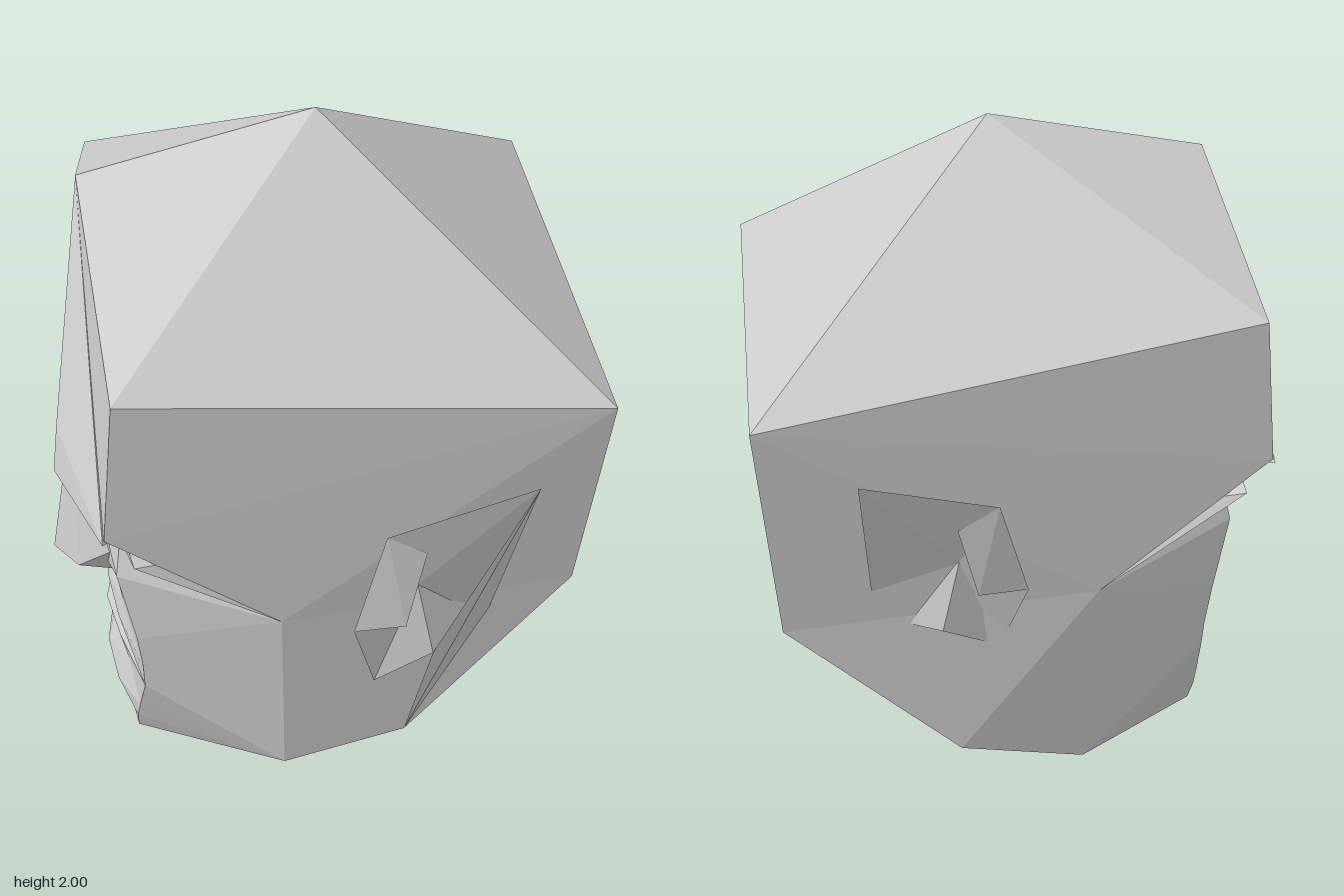
import * as THREE from 'three';
import { ConvexGeometry } from 'three/addons/geometries/ConvexGeometry.js';

const material = new THREE.MeshStandardMaterial({ color: 0xcccccc, flatShading: true, side: THREE.DoubleSide });

// Point of the head: forward, up, sideways. The head is slightly skewed and tilted.
const P = ([f, y, s]) =>
  new THREE.Vector3(-f * (1 - 0.055 * s), y - 0.025 * s, s + 0.035 * f - 0.01 * (2 - y));
const flip = ([f, y, s]) => [f, y, -s];
const both = (points) => points.flatMap((p) => (p[2] ? [p, flip(p)] : [p]));

function mesh(name, geometry) {
  const m = new THREE.Mesh(geometry, material);
  m.name = name;
  return m;
}

const hull = (name, points) => mesh(name, new ConvexGeometry(points.map(P)));

// Faceted surface from triangles of points
function facets(name, triangles) {
  const geometry = new THREE.BufferGeometry().setFromPoints(triangles.flat().map(P));
  geometry.computeVertexNormals();
  return mesh(name, geometry);
}

// Surface through half sections, each mirrored across the middle
function loft(name, halves) {
  const rows = halves.map((h) => [...h.slice(1).reverse().map(flip), ...h]);
  const triangles = [];
  for (let r = 0; r < rows.length - 1; r++) {
    for (let c = 0; c < rows[r].length - 1; c++) {
      const [a, d] = [rows[r][c], rows[r][c + 1]];
      const [b, e] = [rows[r + 1][c], rows[r + 1][c + 1]];
      // Diagonals mirror across the middle
      if (c < 3) triangles.push([a, b, e], [a, e, d]);
      else triangles.push([a, b, d], [d, b, e]);
    }
  }
  // Leave out triangles that close to a line where sections meet
  return facets(name, triangles.filter((t) => new THREE.Triangle(...t.map(P)).getArea() > 1e-6));
}

export function createModel() {
  const head = new THREE.Group();
  head.name = 'head';

  // Corners shared by several parts
  const forehead = [0.62, 1.86, 0];
  const backLow = [[-0.66, 0.84, 0.61], [-0.66, 0.84, -0.635]];
  const cheekbone = [0.18, 0.83, 0.64];
  const jawCorner = [0.17, 0.17, 0.575];
  const jawAngles = [[-0.2, 0.255, 0.58], [-0.2, 0.345, -0.65]];
  const neck = [-0.28, 0.18, -0.02];

  // Cranium: crown, forehead, temples, back and brow line
  head.add(hull('cranium', [
    ...both([
      [0, 2, 0], forehead,
      [0.59, 1.605, 0.64], [-0.695, 1.475, 0.675],
      cheekbone, [0.64, 1.19, 0.64], [0.66, 1.2, 0.3],
    ]),
    ...backLow,
  ]));

  // Jaw: neck, jaw corners, throat and chin
  head.add(hull('jaw', [
    ...both([
      cheekbone, jawCorner,
      [0.1, 0.005, 0.15], [0.6, 0.07, 0.28], [0.6, 0.02, 0],
    ]),
    ...backLow, ...jawAngles, neck,
  ]));

  // Nape: wedge from the back of the skull down to the neck
  head.add(hull('nape', [...backLow, neck, [-0.56, 0.25, 0]]));

  // Face: sections from the eye sockets down to the chin, middle to side
  head.add(loft('face', [
    [[0.69, 1.18, 0], [0.63, 1.08, 0.2], [0.6, 0.98, 0.41], cheekbone],
    [[0.7, 0.95, 0], [0.65, 0.93, 0.2], [0.62, 0.87, 0.44], cheekbone],
    [[0.68, 0.62, 0], [0.62, 0.65, 0.22], [0.58, 0.63, 0.45], cheekbone],
    [[0.62, 0.52, 0], [0.61, 0.51, 0.18], [0.57, 0.5, 0.44], cheekbone],
    [[0.65, 0.46, 0], [0.63, 0.44, 0.16], [0.57, 0.41, 0.43], cheekbone],
    [[0.59, 0.41, 0], [0.58, 0.41, 0.17], [0.57, 0.41, 0.43], jawCorner],
    [[0.66, 0.36, 0], [0.63, 0.35, 0.16], [0.57, 0.41, 0.43], jawCorner],
    [[0.62, 0.27, 0], [0.61, 0.25, 0.17], [0.59, 0.25, 0.36], jawCorner],
    [[0.67, 0.17, 0], [0.65, 0.15, 0.15], [0.6, 0.16, 0.32], jawCorner],
    [[0.6, 0.02, 0], [0.61, 0.04, 0.18], [0.6, 0.07, 0.28], jawCorner],
  ]));

  // Nose: narrow bridge, pointed tip and two wings
  head.add(hull('nose', both([
    [0.69, 1.17, 0], [0.62, 1.1, 0.08], [0.8, 0.6, 0],
    [0.73, 0.64, 0.14], [0.62, 0.74, 0.2], [0.62, 0.55, 0.08],
  ])));

  for (const side of [1, -1]) {
    const at = (points) => (side > 0 ? points : points.map(flip));
    const label = side > 0 ? 'left' : 'right';

    // Brow: long facets from the top of the forehead to the ridge over the eye
    const jut = 0.72 + 0.035 * side;
    head.add(hull(label + 'Brow', at([
      forehead, [0.68, 1.26, 0.06], [jut - 0.02, 1.33, 0.34], [jut, 1.21, 0.37],
      [0.645, 1.18, 0.645], [0.55, 1.15, 0.55], [0.61, 1.15, 0.16],
    ])));

    // Eyelid: wedge under the brow, from the nose bridge out to the cheekbone
    head.add(hull(label + 'Eyelid', at([
      [0.67, 1.17, 0.03], [0.57, 1.1, 0.655], [0.6, 0.98, 0.41], cheekbone, [0.3, 1.05, 0.58],
    ])));

    // Ear points; the right ear sits higher towards its lobe
    const lift = side > 0 ? 0 : 0.17;
    const ear = (points) => at(points.map(([f, y, s]) => [f, y + lift * (1.39 - y), s]));

    // Ear: a leaf-shaped rim around a hollow, closed behind
    const rim = ear([
      [-0.02, 0.79, 0.67], [-0.1, 1.14, 0.69], [-0.46, 1.39, 0.84],
      [-0.42, 0.7, 0.59], [-0.25, 0.68, 0.68], [-0.09, 0.54, 0.63],
    ]);
    const [hollow, root] = ear([[-0.2, 0.92, 0.65], [-0.3, 0.95, 0.57]]);
    const triangles = [];
    rim.forEach((p, i) => {
      const q = rim[(i + 1) % rim.length];
      // Outward winding is opposite on the two sides
      triangles.push(side > 0 ? [hollow, q, p] : [hollow, p, q]);
      triangles.push(side > 0 ? [root, p, q] : [root, q, p]);
    });
    head.add(facets(label + 'Ear', triangles));

    // Ridge along the front of the ear
    head.add(hull(label + 'EarRidge', ear([
      [-0.02, 0.79, 0.67], [-0.1, 1.14, 0.69], [-0.21, 1.08, 0.7],
      [-0.16, 0.83, 0.71], [-0.12, 0.9, 0.62],
    ])));

    // Fold behind the left ear, running down to the angle of the jaw
    if (side > 0) head.add(hull('leftEarFold', [rim[2], rim[3], rim[4], jawAngles[0]]));
  }

  // The head is turned a little from the x axis
  head.rotation.y = 0.157;
  head.position.set(0.02, 0, 0.1);

  const model = new THREE.Group();
  model.name = 'headModel';
  model.add(head);
  return model;
}
